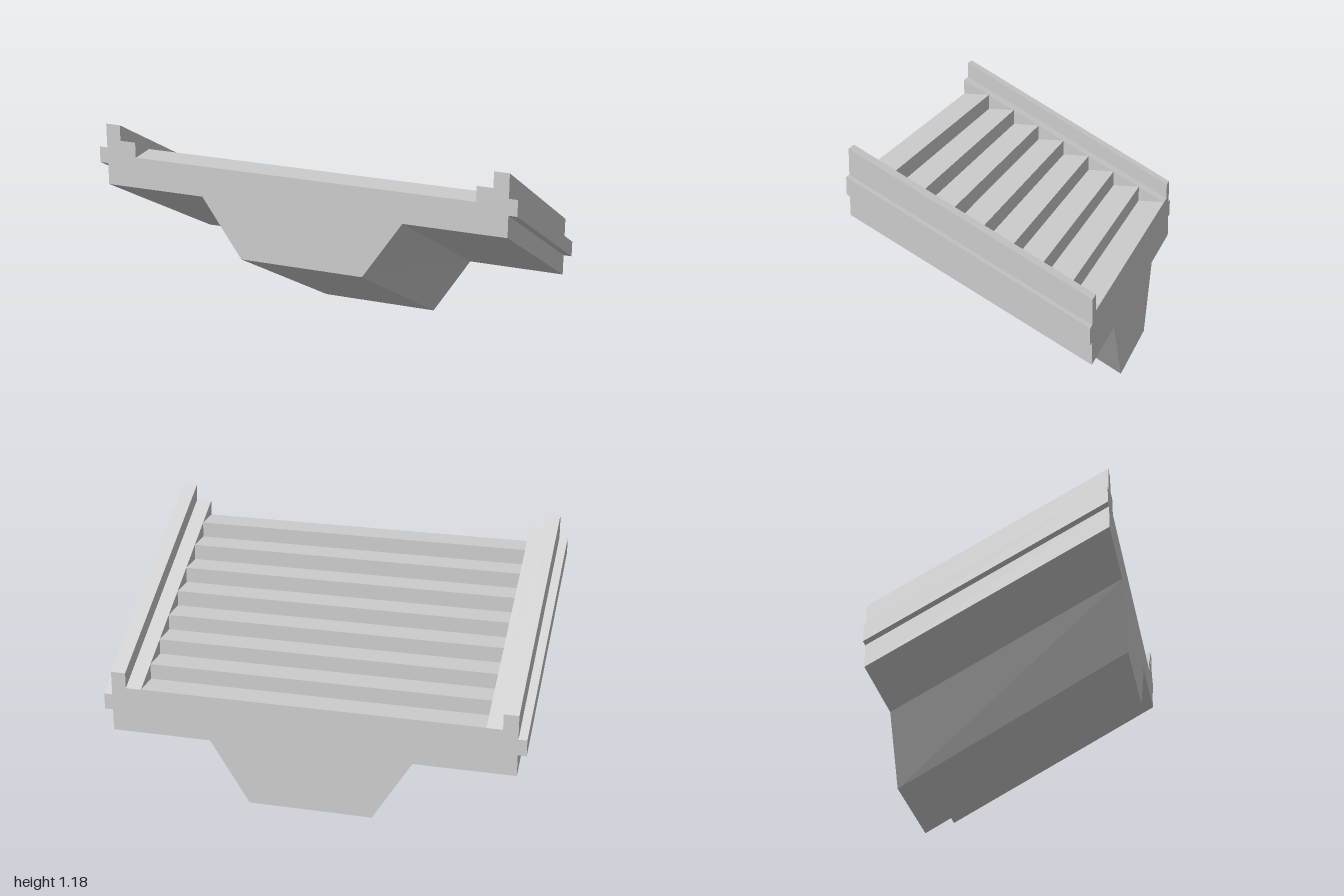
import * as THREE from 'three';

const HALF = 0.535;      // half length along z
const LENGTH = HALF * 2;
const DROP = 0.59;       // fall from front to back
const STEPS = 8;
const FLOOR = 1.037;     // floor height at the front end
const WELL = 0.815;      // half width of the stairs

// Right half of the cross-section at the front end, top centre to keel
const HALF_PROFILE = [
  [WELL, FLOOR], [WELL, 1.11], [0.89, 1.11], [0.89, 1.185], [0.96, 1.185],
  [0.96, 1.07], [1, 1.07], [1, 0.993], [0.96, 0.993], [0.96, 0.89],
  [0.483, 0.89], [0.295, 0.608],
];

const polygon = (points) => new THREE.Shape(points.map(([x, y]) => new THREE.Vector2(x, y)));

function extrude(points, depth) {
  const g = new THREE.ExtrudeGeometry(polygon(points), { depth, bevelEnabled: false });
  return g.translate(0, 0, -depth / 2);
}

// Sloping body: mirrored cross-section, sheared downwards towards the back
function bodyGeometry() {
  const mirrored = HALF_PROFILE.map(([x, y]) => [-x, y]).reverse();
  const g = extrude([...HALF_PROFILE, ...mirrored], LENGTH);
  const p = g.attributes.position;
  for (let i = 0; i < p.count; i++) {
    const y = p.getY(i);
    const drop = y < 0.7 ? 0.608 : DROP; // the keel falls a touch more
    p.setY(i, y - drop * (HALF - p.getZ(i)) / LENGTH);
  }
  g.computeVertexNormals();
  return g;
}

export function createModel() {
  const model = new THREE.Group();
  model.name = 'stairSegment';
  const material = new THREE.MeshStandardMaterial({ color: 0xcccccc, flatShading: true });

  const add = (name, geometry) => {
    const mesh = new THREE.Mesh(geometry, material);
    mesh.name = name;
    model.add(mesh);
  };

  add('slopedBody', bodyGeometry());

  // Wedge steps: level tread, upright riser facing the back
  const run = LENGTH / STEPS;
  const rise = DROP / STEPS;
  for (let i = 0; i < STEPS; i++) {
    const z = HALF - i * run;
    const y = FLOOR - i * rise;
    const wedge = extrude([[z, y], [z - run, y], [z - run, y - rise]], WELL * 2);
    wedge.rotateY(-Math.PI / 2);
    add(`step${i + 1}`, wedge);
  }
  return model;
}
